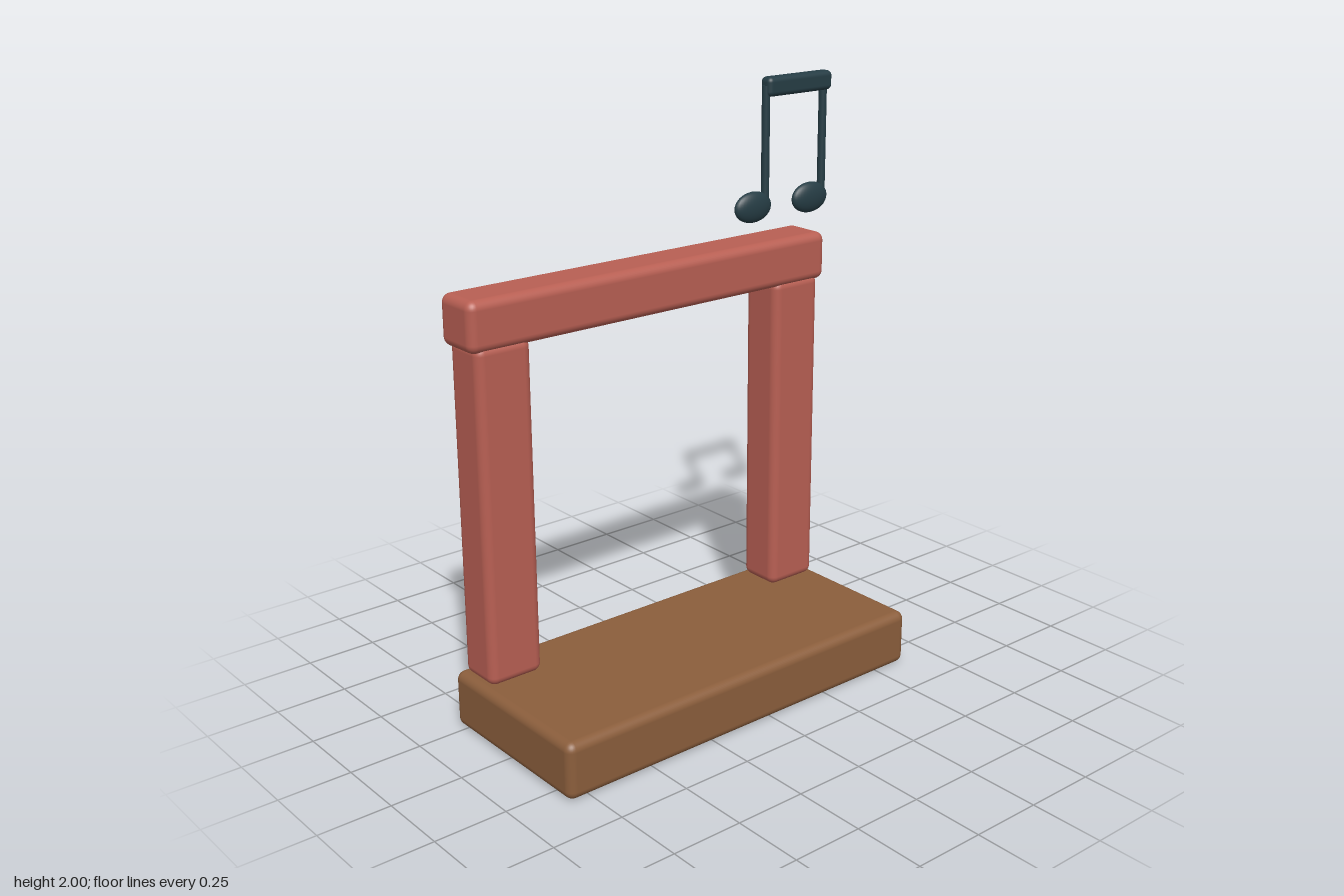
import * as THREE from 'three';
import { RoundedBoxGeometry } from 'three/addons/geometries/RoundedBoxGeometry.js';

export function createModel() {
  const model = new THREE.Group();
  model.name = 'gateWithMusicNote';

  const wood = new THREE.MeshStandardMaterial({ color: 0x8b5e3c });
  wood.name = 'brown wood';
  const red = new THREE.MeshStandardMaterial({ color: 0xb85f53 });
  red.name = 'brick red';
  const dark = new THREE.MeshStandardMaterial({ color: 0x263d45 });
  dark.name = 'dark slate';

  const add = (parent, name, geometry, material, x, y, z) => {
    const mesh = new THREE.Mesh(geometry, material);
    mesh.name = name;
    mesh.position.set(x, y, z);
    parent.add(mesh);
    return mesh;
  };
  const block = (w, h, d, r) => new RoundedBoxGeometry(w, h, d, 4, r);

  // Base slab
  add(model, 'base', block(1.457, 0.196, 0.644, 0.03), wood, -0.1, 0.098, 0.022);

  // Gate: two posts and a crossbeam near the back of the base
  const gate = new THREE.Group();
  gate.name = 'gate';
  model.add(gate);
  for (const [name, x] of [['rightPost', -0.704], ['leftPost', 0.503]]) {
    add(gate, name, block(0.2, 1.14, 0.162, 0.03), red, x, 0.766, -0.191);
  }
  add(gate, 'crossbeam', block(1.457, 0.167, 0.172, 0.03), red, -0.1, 1.399, -0.191);

  // Floating pair of joined notes
  const note = new THREE.Group();
  note.name = 'musicNote';
  note.position.z = -0.317;
  model.add(note);
  for (const [side, x] of [['right', 0.476], ['left', 0.745]]) {
    const head = add(note, side + 'NoteHead', new THREE.SphereGeometry(1, 32, 20), dark, x, 1.554, 0);
    head.scale.set(0.082, 0.055, 0.027);
    add(note, side + 'NoteStem', new THREE.CylinderGeometry(0.0145, 0.0145, 0.415, 20), dark, x + 0.056, 1.763, 0);
  }
  add(note, 'noteBar', block(0.3, 0.068, 0.053, 0.018), dark, 0.676, 1.966, 0);

  return model;
}
